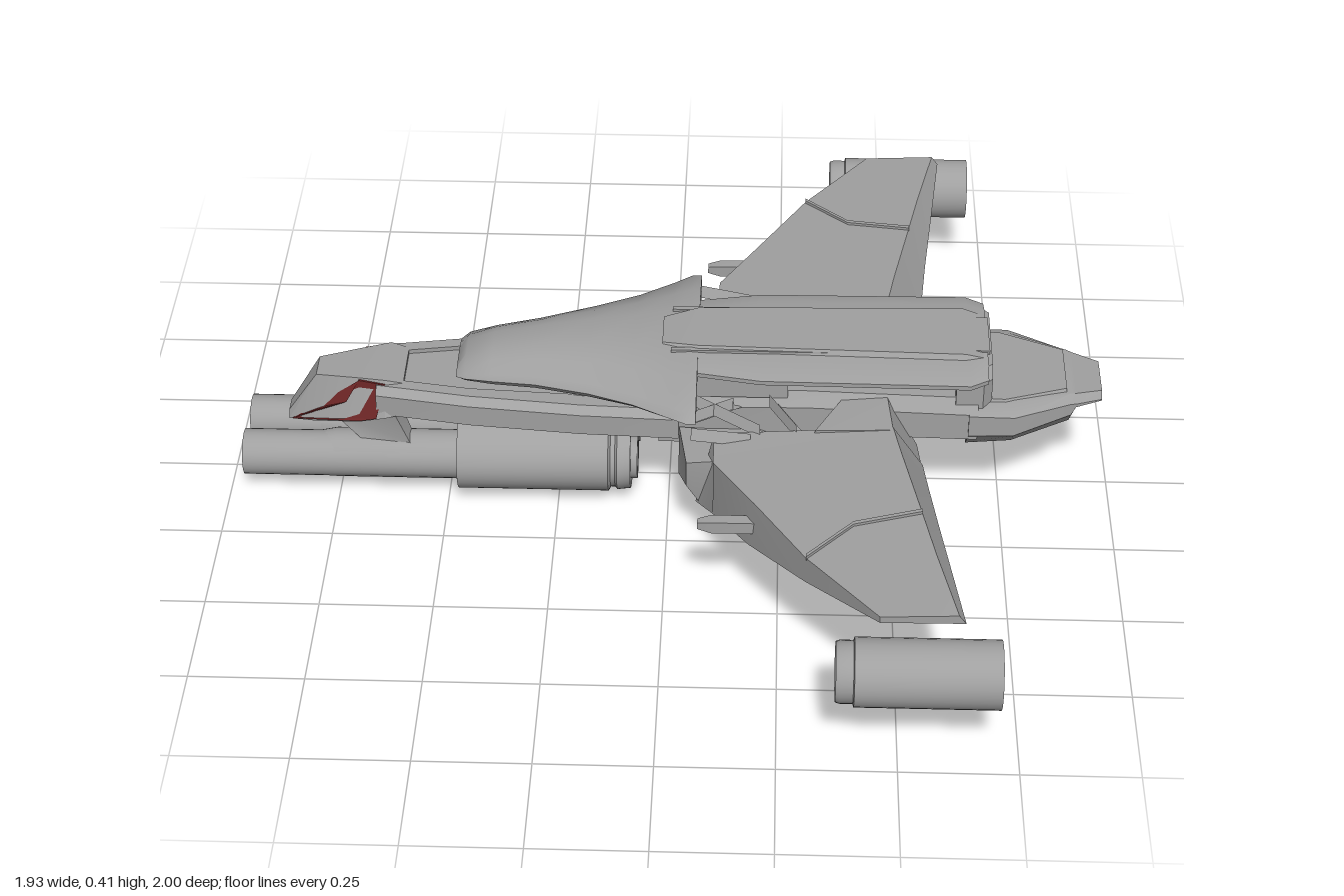
import * as THREE from 'three';
import { toCreasedNormals } from 'three/addons/utils/BufferGeometryUtils.js';

const grey = new THREE.MeshStandardMaterial({ color: 0xa0a0a0, side: THREE.DoubleSide });
grey.name = 'hullGrey';
const red = new THREE.MeshStandardMaterial({ color: 0x6e2626, side: THREE.DoubleSide });
red.name = 'canopyRed';

export function createModel() {
  const model = new THREE.Group();

  const add = (name, geo, mat = grey) => {
    const m = new THREE.Mesh(geo, mat);
    m.name = name;
    model.add(m);
    return m;
  };

  // Skin a row of matching closed cross-sections and cap both ends
  const loft = (rings, crease = 0.5) => {
    const tris = [], n = rings[0].length;
    for (let r = 0; r < rings.length - 1; r++)
      for (let i = 0; i < n; i++) {
        const j = (i + 1) % n, a = rings[r], b = rings[r + 1];
        tris.push([a[i], a[j], b[j]], [a[i], b[j], b[i]]);
      }
    const first = rings[0], last = rings[rings.length - 1];
    for (let i = 1; i < n - 1; i++)
      tris.push([first[0], first[i + 1], first[i]], [last[0], last[i], last[i + 1]]);
    // Turn the skin outward if its volume comes out negative
    const v = tris.map(t => t.map(p => new THREE.Vector3(...p)));
    const vol = v.reduce((s, [a, b, c]) => s + a.dot(b.clone().cross(c)), 0);
    const flat = v.flatMap(([a, b, c]) => (vol < 0 ? [a, c, b] : [a, b, c]));
    const g = new THREE.BufferGeometry().setFromPoints(flat);
    return toCreasedNormals(g, crease);
  };

  // Mirror a half section of [y, z] points (bottom to top) about z = 0
  const section = (x, half) => [
    ...half.map(([y, z]) => [x, y, z]),
    ...half.slice().reverse().map(([y, z]) => [x, y, -z]),
  ];
  const mirrorZ = (ring, s) => ring.map(([x, y, z]) => [x, y, z * s]);
  const box = (name, x0, x1, y0, y1, z0, z1) => {
    const g = new THREE.BoxGeometry(x1 - x0, y1 - y0, z1 - z0);
    g.translate((x0 + x1) / 2, (y0 + y1) / 2, (z0 + z1) / 2);
    return add(name, g);
  };
  // Turned part along x from [radius, x] points
  const turned = (name, pts, y, z, sides = 28, widen = 1) => {
    const g = new THREE.LatheGeometry(pts.map(([r, x]) => new THREE.Vector2(r, x)), sides);
    g.rotateZ(-Math.PI / 2);
    g.scale(1, 1, widen);
    g.translate(0, y, z);
    return add(name, toCreasedNormals(g, 0.6));
  };

  // Broad upper shell flaring toward the wings: x, half width, bottom, top
  add('upperShell', loft([
    [-0.48, 0.075, 0.32, 0.335], [-0.46, 0.09, 0.32, 0.355], [-0.4, 0.105, 0.32, 0.375],
    [-0.3, 0.125, 0.325, 0.39], [-0.18, 0.165, 0.33, 0.403], [-0.08, 0.21, 0.335, 0.407],
    [0, 0.262, 0.34, 0.41], [0.04, 0.29, 0.345, 0.412], [0.06, 0.29, 0.345, 0.412],
  ].map(([x, w, b, t]) => section(x, [
    [b, w * 0.9], [b + (t - b) * 0.25, w], [b + (t - b) * 0.5, w * 0.93],
    [b + (t - b) * 0.82, w * 0.62], [t, w * 0.3],
  ])), 0.8));

  // Flat dorsal deck and its raised spine
  add('dorsalDeck', loft([[0.04, 0.14], [0.2, 0.17], [0.66, 0.175], [0.7, 0.15]].map(([x, w]) =>
    section(x, [[0.38, w - 0.02], [0.385, w], [0.395, w], [0.41, w - 0.05]]))));
  add('dorsalSpine', loft([[-0.02, 0.05, 0.412], [0.06, 0.075, 0.422], [0.65, 0.09, 0.422], [0.69, 0.085, 0.41]]
    .map(([x, w, t]) => section(x, [[0.4, w + 0.012], [t, w]]))));
  add('deckRearBlock', loft([[0.63, 0.15], [0.69, 0.15], [0.71, 0.13]].map(([x, w]) =>
    section(x, [[0.31, w], [0.385, w], [0.405, w - 0.03]]))));
  box('rearVent', 0.65, 0.705, 0.38, 0.415, -0.065, 0.065);
  for (const s of [1, -1]) {
    box('deckRib', 0, 0.64, 0.402, 0.416, s * 0.08 - 0.006, s * 0.08 + 0.006);
    box('deckSupport', 0.06, 0.26, 0.33, 0.39, s * 0.11 - 0.03, s * 0.11 + 0.03);
  }

  // Central body and tapered tail
  add('centralBody', loft([
    [-0.22, 0.235, 0.3, 0.12], [-0.08, 0.225, 0.315, 0.13], [0.02, 0.2, 0.33, 0.14],
    [0.3, 0.2, 0.345, 0.155], [0.68, 0.2, 0.34, 0.165],
  ].map(([x, b, t, w]) => section(x, [[b, w * 0.55], [b + 0.045, w], [t - 0.03, w], [t, w * 0.85]]))));
  add('tail', loft([
    [0.66, 0.19, 0.325, 0.17], [0.76, 0.2, 0.325, 0.172], [0.89, 0.23, 0.318, 0.105], [0.9, 0.268, 0.315, 0.1],
    [0.96, 0.272, 0.308, 0.07],
  ].map(([x, b, t, w]) => section(x, [[b, w * 0.6], [(b + t) / 2, w], [t - 0.015, w], [t, w * 0.8]]))));
  add('tailTopPlate', loft([[0.66, 0.14], [0.74, 0.14], [0.88, 0.085]].map(([x, w]) =>
    section(x, [[0.31, w], [0.334 - (x - 0.66) * 0.04, w - 0.01]]))));

  // Neck with two long side rails
  add('neck', loft([[-0.66, 0.06], [-0.45, 0.085], [-0.2, 0.12]].map(([x, w]) =>
    section(x, [[0.24, w], [0.29, w]]))));
  for (const s of [1, -1])
    add('neckRail', loft([[-0.66, 0.05, 0.1], [-0.45, 0.085, 0.135], [-0.2, 0.1, 0.16], [0.02, 0.1, 0.17]]
      .map(([x, a, b]) => [[x, 0.235, a * s], [x, 0.235, b * s], [x, 0.285, b * s], [x, 0.3, (b - 0.02) * s], [x, 0.3, a * s]])));

  // Cockpit wedge: x, bottom, top, lower half width, upper half width
  add('cockpit', loft([
    [-0.87, 0.168, 0.185, 0.03, 0.02], [-0.8, 0.185, 0.295, 0.062, 0.035],
    [-0.7, 0.21, 0.305, 0.096, 0.06], [-0.64, 0.23, 0.31, 0.11, 0.075], [-0.6, 0.235, 0.3, 0.1, 0.07],
  ].map(([x, b, t, lo, hi]) => section(x, [[b, lo], [t, hi]])), 0.3));
  // Red canopy panels, just proud of the cockpit sides
  for (const s of [1, -1]) {
    const panel = [[-0.862, 0.172, 0.036], [-0.8, 0.192, 0.066], [-0.7, 0.214, 0.1], [-0.66, 0.228, 0.109],
      [-0.64, 0.302, 0.082], [-0.7, 0.302, 0.066], [-0.73, 0.25, 0.077], [-0.8, 0.215, 0.059]];
    const inner = panel.map(([x, y, z]) => [x, y, z - 0.006]);
    add('canopyPanel', loft([mirrorZ(panel, s), mirrorZ(inner, s)], 0.2), red);
    add('chinFairing', loft([
      [[-0.76, 0.21, 0.02], [-0.76, 0.21, 0.07], [-0.62, 0.236, 0.1], [-0.62, 0.236, 0.03]],
      [[-0.7, 0.15, 0.04], [-0.7, 0.15, 0.08], [-0.59, 0.15, 0.09], [-0.59, 0.15, 0.04]],
      [[-0.585, 0.11, 0.105], [-0.585, 0.11, 0.115], [-0.57, 0.115, 0.115], [-0.57, 0.115, 0.105]],
    ].map(r => mirrorZ(r, s))));

    // Twin open barrels running into the engine
    turned('barrel', [[0.052, -0.97], [0.052, -0.47]], 0.1, s * 0.067);
    turned('barrelSleeve', [[0.03, -0.9], [0.056, -0.76], [0.056, -0.47]], 0.1, s * 0.062);
    // Exhaust rings on the engine's rear face
    turned('exhaustRing', [[0.035, -0.1], [0.035, -0.075], [0.05, -0.075], [0.05, -0.1]], 0.11, s * 0.07);
  }
  // Oval engine drum with a stepped rear collar
  turned('engineDrum', [[0, -0.48], [0.106, -0.48], [0.106, -0.14], [0.098, -0.135], [0.098, -0.125],
    [0.103, -0.12], [0.1, -0.09], [0.082, -0.09], [0.08, -0.11], [0, -0.11]], 0.116, 0, 40, 1.48);
  // Pylons between engine and body
  box('enginePylon', -0.03, 0.02, 0.12, 0.24, -0.025, 0.025);
  box('engineStrut', -0.12, 0.02, 0.14, 0.17, -0.015, 0.015);
  box('enginePylonFront', -0.4, -0.26, 0.2, 0.26, -0.06, 0.06);

  for (const s of [1, -1]) {
    // Wing: lead top, lead bottom, trailing bottom, trailing top at each span station
    const wing = [
      [[0.1, 0.31, 0.25], [0.06, 0.115, 0.24], [0.56, 0.22, 0.23], [0.49, 0.336, 0.25]],
      [[0.1, 0.305, 0.35], [0.1, 0.15, 0.33], [0.57, 0.23, 0.33], [0.505, 0.337, 0.34]],
      [[0.19, 0.312, 0.5], [0.18, 0.2, 0.5], [0.585, 0.26, 0.5], [0.535, 0.336, 0.5]],
      [[0.3, 0.318, 0.69], [0.3, 0.255, 0.69], [0.605, 0.285, 0.69], [0.57, 0.334, 0.69]],
      [[0.45, 0.325, 0.885], [0.45, 0.31, 0.885], [0.625, 0.312, 0.885], [0.61, 0.332, 0.885]],
    ];
    add('wing', loft(wing.map(r => mirrorZ(r, s)), 0.3));
    // Inner wing joint behind the open notch, and the low forward root
    add('wingRoot', loft([
      [[0.38, 0.33, 0.14], [0.36, 0.2, 0.14], [0.55, 0.21, 0.14], [0.48, 0.337, 0.14]],
      [[0.32, 0.33, 0.26], [0.3, 0.19, 0.26], [0.56, 0.22, 0.26], [0.49, 0.336, 0.26]],
    ].map(r => mirrorZ(r, s))));
    add('wingKeel', loft([
      [[0.02, 0.24, 0.13], [0.02, 0.14, 0.17], [0.07, 0.095, 0.18], [0.36, 0.19, 0.17], [0.2, 0.25, 0.13]],
      [[0.04, 0.25, 0.28], [0.04, 0.18, 0.27], [0.07, 0.118, 0.25], [0.36, 0.19, 0.25], [0.2, 0.25, 0.26]],
    ].map(r => mirrorZ(r, s))));
    // Raised outer panel seam on the wing top
    const seam = [[0.3, 0.32, 0.69], [0.4, 0.327, 0.585], [0.545, 0.337, 0.55]];
    for (let i = 0; i < 2; i++) {
      const [a, b] = [seam[i], seam[i + 1]];
      add('wingSeam', loft([a, b].map(([x, y, z]) => mirrorZ(
        [[x, y - 0.006, z - 0.005], [x, y + 0.005, z - 0.005], [x, y + 0.005, z + 0.005], [x, y - 0.006, z + 0.005]], s))));
    }
    // Open bracing beside the deck
    const brace = (a, b) => add('rootBrace', loft([a, b].map(([x, y, z]) => mirrorZ(
      [[x, y, z - 0.012], [x + 0.02, y, z], [x, y, z + 0.012], [x, y + 0.025, z]], s))));
    brace([0.05, 0.32, 0.28], [0.18, 0.3, 0.27]);
    brace([0.05, 0.32, 0.15], [0.2, 0.31, 0.25]);
    brace([0.22, 0.32, 0.15], [0.28, 0.31, 0.25]);
    brace([0.05, 0.32, 0.22], [0.14, 0.31, 0.15]);
    // Small gun ahead of the wing
    add('wingGun', loft([[0.07, 0.008], [0.1, 0.014], [0.2, 0.014]].map(([x, r]) =>
      [[x, 0.25 - r, 0.495 * s - r], [x, 0.25 - r, 0.495 * s + r], [x, 0.25 + r, 0.495 * s + r], [x, 0.25 + r, 0.495 * s - r]])));
    // Wingtip pod: open tube with front collar and inner disc
    turned('wingtipPod', [[0.05, 0.38], [0.05, 0.365], [0.062, 0.362], [0.065, 0.37], [0.065, 0.398],
      [0.072, 0.4], [0.072, 0.7]], 0.215, s * 0.928);
    turned('podDisc', [[0, 0.41], [0.071, 0.41]], 0.215, s * 0.928);
  }

  // Centre on x and z, stand on y = 0
  const b = new THREE.Box3().setFromObject(model), c = b.getCenter(new THREE.Vector3());
  model.children.forEach(m => m.position.sub(new THREE.Vector3(c.x, b.min.y, c.z)));
  return model;
}
